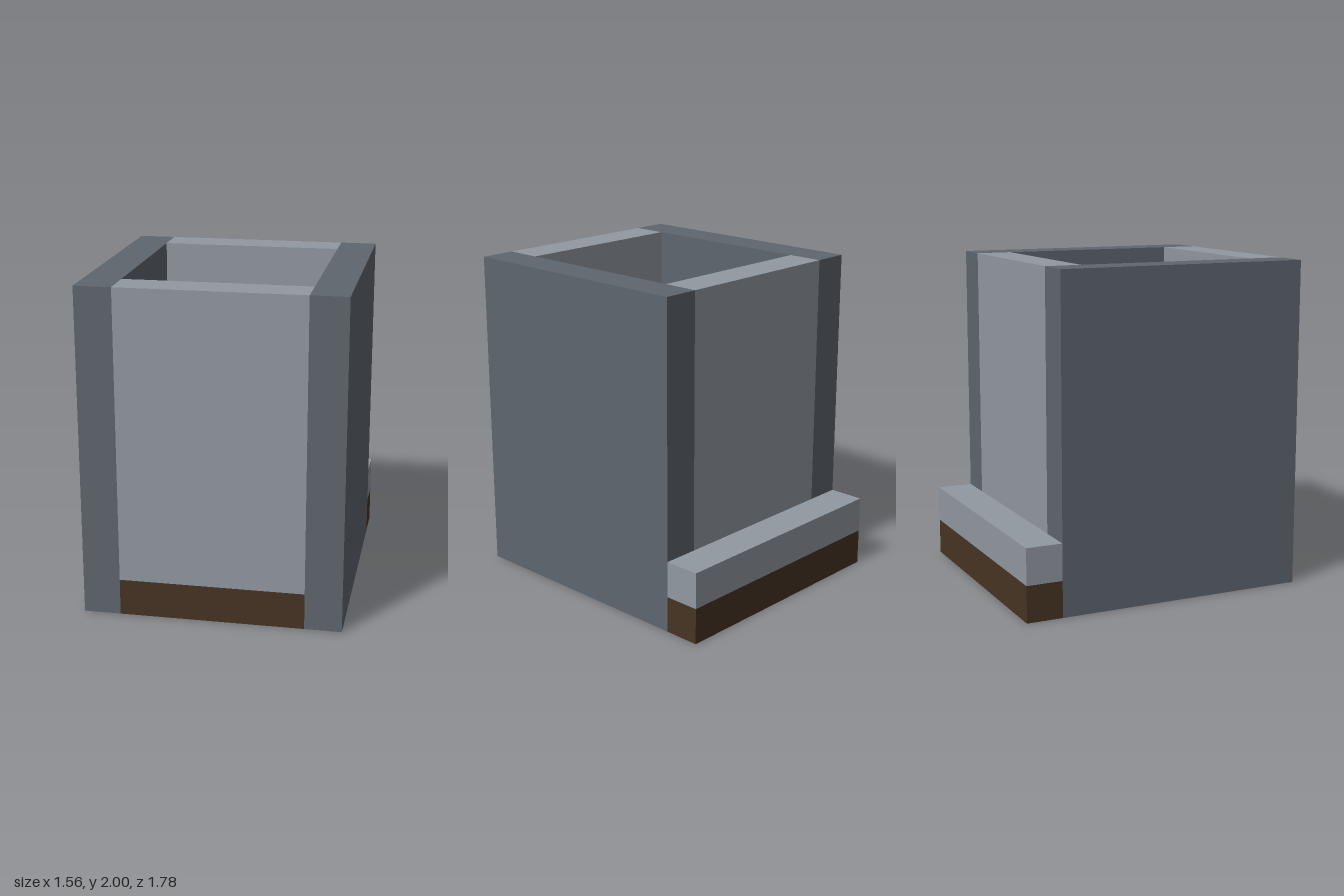
import * as THREE from 'three';

export function createModel() {
  const model = new THREE.Group();
  model.name = 'openTopPlanter';
  const material = (name, color) => {
    const m = new THREE.MeshStandardMaterial({ color });
    m.name = name;
    return m;
  };
  const darkGrey = material('darkGrey', 0x5f666e);
  const lightGrey = material('lightGrey', 0x9299a1);
  const brown = material('brown', 0x463423);

  // Everything sits on a grid of nine units to the full height
  const u = 2 / 9;
  const box = (name, mat, [x0, x1], [y0, y1], [z0, z1]) => {
    const mesh = new THREE.Mesh(new THREE.BoxGeometry((x1 - x0) * u, (y1 - y0) * u, (z1 - z0) * u), mat);
    mesh.position.set((x0 + x1) / 2 * u, (y0 + y1) / 2 * u, (z0 + z1) / 2 * u);
    mesh.name = name;
    model.add(mesh);
  };

  // Full-height side walls
  box('leftWall', darkGrey, [2.5, 3.5], [0, 9], [-3, 4]);
  box('rightWall', darkGrey, [-3.5, -2.5], [0, 9], [-3, 4]);

  // Front and back panels standing on the floor slab
  box('frontWall', lightGrey, [-2.5, 2.5], [1, 9], [3, 4]);
  box('backWall', lightGrey, [-2.5, 2.5], [1, 9], [-3, -2]);

  // Floor slab and the ledge behind it
  box('floor', brown, [-2.5, 2.5], [0, 1], [-3, 4]);
  box('ledgeBase', brown, [-3.5, 3.5], [0, 1], [-4, -3]);
  box('ledgeTop', lightGrey, [-3.5, 3.5], [1, 2], [-4, -3]);

  return model;
}
